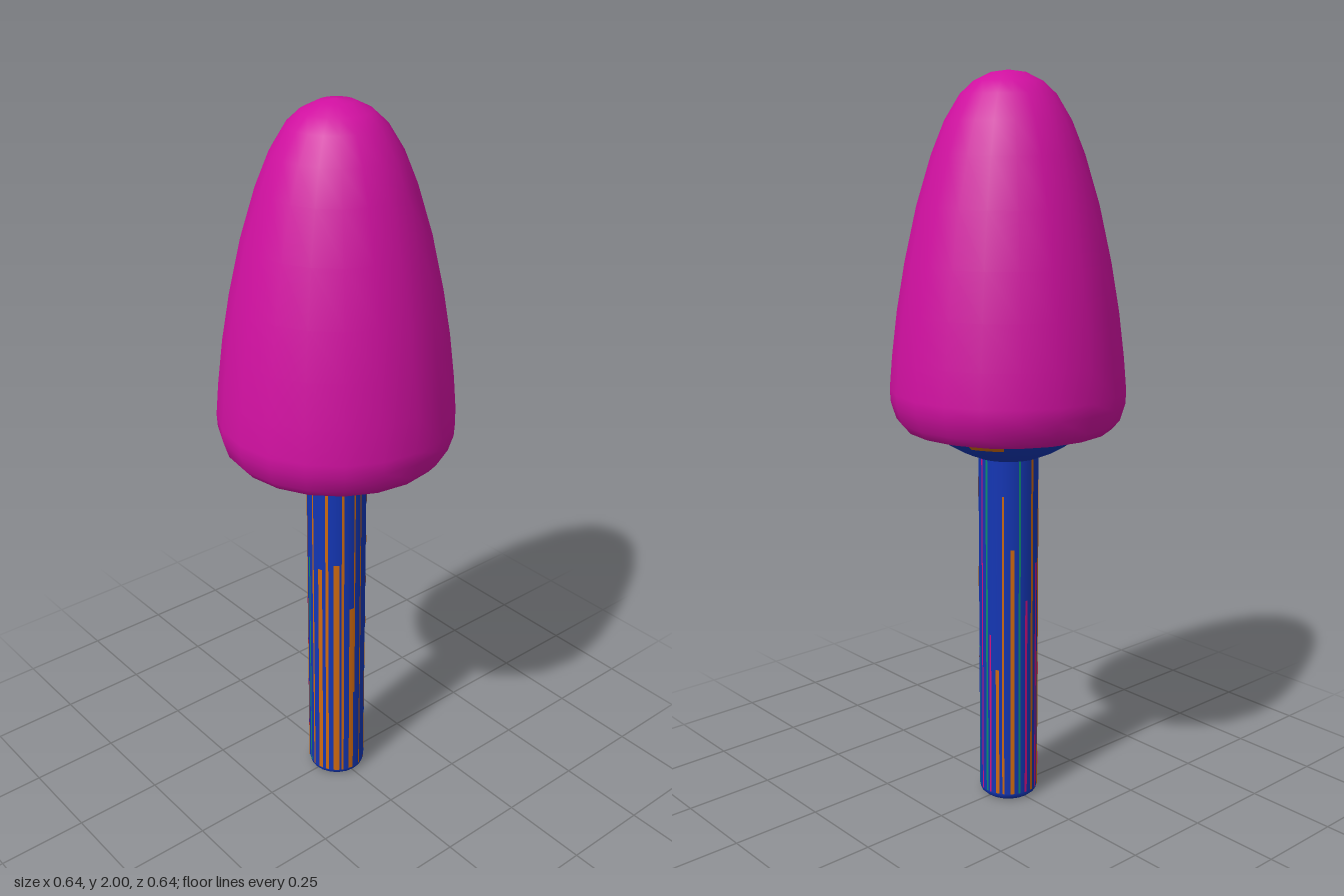
import * as THREE from 'three';

const SIDES = 20;
const RAD = Math.PI / 180;
const COLORS = { cap: 0xd010a0, blue: 0x1436b4, orange: 0xd06a10, green: 0x0c8a70, pink: 0xd01080 };

const material = (color, side = THREE.FrontSide) => {
  const m = new THREE.MeshStandardMaterial({ side });
  m.color.set(color);
  return m;
};

const mats = {};
for (const [key, color] of Object.entries(COLORS)) mats[key] = material(color, THREE.DoubleSide);

function addPart(group, name, geometry, mat) {
  const mesh = new THREE.Mesh(geometry, mat);
  mesh.name = name;
  group.add(mesh);
  return mesh;
}

// Profile of [radius, height] pairs, listed from bottom to top
const lathe = (pts, start = 0, length = Math.PI * 2, sides = SIDES) =>
  new THREE.LatheGeometry(pts.map(([r, y]) => new THREE.Vector2(r, y)), sides, start, length);

export function createModel() {
  const model = new THREE.Group();
  model.name = 'mushroom';

  // Tall bullet-shaped cap with a rounded lip turning in underneath
  addPart(model, 'cap', lathe([
    [0.17, 1.10], [0.21, 1.075], [0.25, 1.067], [0.28, 1.075], [0.302, 1.10], [0.316, 1.145],
    [0.318, 1.18], [0.31, 1.27], [0.295, 1.39], [0.273, 1.515], [0.24, 1.66], [0.2, 1.79],
    [0.165, 1.875], [0.125, 1.94], [0.09, 1.972], [0.045, 1.994], [0, 2],
  ]), mats.cap);

  // Shallow bowl under the cap, flaring out of the stem
  addPart(model, 'underCapBowl', lathe([
    [0.06, 0.99], [0.09, 0.993], [0.13, 1.01], [0.17, 1.033], [0.205, 1.06], [0.225, 1.085],
  ]), mats.blue);

  // Four coloured patches along the bowl's rim
  const patches = new THREE.Group();
  patches.name = 'bowlPatches';
  for (let i = 0; i < 4; i++) {
    addPart(patches, 'bowlPatch', lathe(
      [[0.191, 1.045], [0.208, 1.058], [0.228, 1.083]], (18 + i * 90) * RAD, 27 * RAD, 3), mats.orange);
  }
  model.add(patches);

  // Stem with a small bevel and closed foot
  addPart(model, 'stem', lathe([
    [0, 0], [0.07, 0], [0.079, 0.008], [0.082, 0.02], [0.082, 1.0],
  ]), mats.blue);

  // Thin streaks on the stem: angle, width (degrees), bottom, top, colour
  const streaks = [
    [-78, 9, 0.02, 0.73, 'orange'], [-62, 6, 0.02, 1.0, 'orange'], [-46, 12, 0.02, 0.75, 'orange'],
    [-30, 5, 0.02, 1.0, 'orange'], [-14, 10, 0.02, 0.6, 'orange'], [-4, 3, 0.3, 1.0, 'orange'],
    [12, 3, 0.02, 1.0, 'orange'], [34, 4, 0.02, 0.45, 'orange'], [44, 3, 0.4, 1.0, 'orange'],
    [62, 4, 0.02, 0.45, 'green'], [76, 4, 0.02, 1.0, 'pink'], [90, 5, 0.02, 1.0, 'green'],
    [99, 4, 0.02, 0.5, 'pink'], [113, 7, 0.02, 0.4, 'orange'], [126, 4, 0.02, 0.9, 'orange'],
    [142, 8, 0.02, 0.75, 'orange'], [158, 4, 0.02, 1.0, 'green'], [172, 5, 0.02, 0.6, 'pink'],
    [186, 6, 0.02, 1.0, 'orange'], [200, 6, 0.02, 0.7, 'pink'], [211, 9, 0.02, 0.85, 'orange'],
    [226, 5, 0.02, 0.6, 'pink'], [236, 7, 0.02, 1.0, 'orange'], [252, 5, 0.02, 0.75, 'green'],
    [266, 4, 0.02, 1.0, 'orange'],
  ];
  const streakGroup = new THREE.Group();
  streakGroup.name = 'stemStreaks';
  for (const [angle, width, bottom, top, color] of streaks) {
    addPart(streakGroup, 'stemStreak', lathe(
      [[0.083, bottom], [0.083, top - 0.005]], angle * RAD, width * RAD, 2), mats[color]);
  }
  model.add(streakGroup);

  return model;
}
